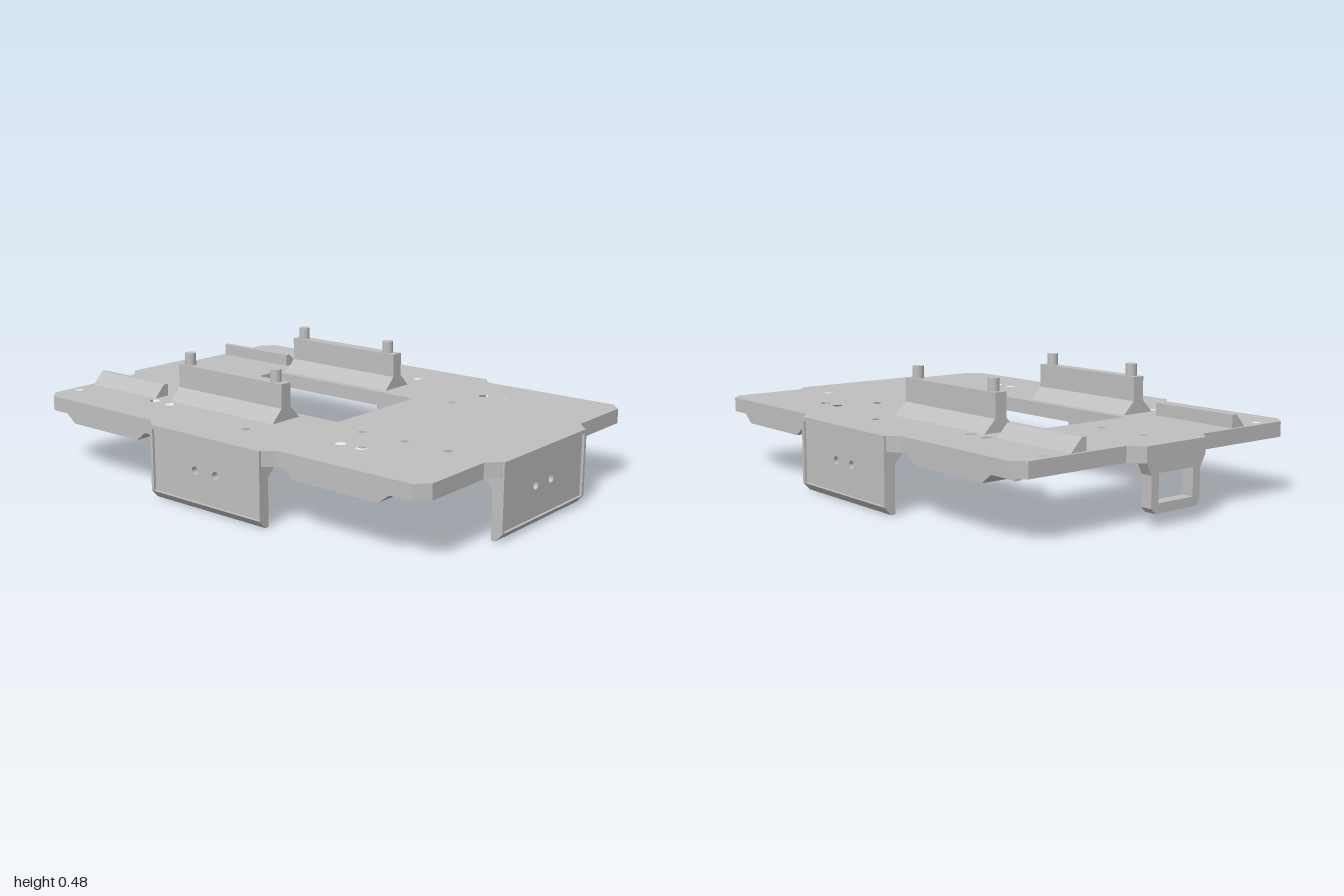
import * as THREE from 'three';
import { toCreasedNormals } from 'three/addons/utils/BufferGeometryUtils.js';

const TOP = 0.288, UNDER = 0.23;

export function createModel() {
  const model = new THREE.Group();
  model.name = 'mountingPlate';
  const grey = new THREE.MeshStandardMaterial({ color: 0xbfbfbf });
  grey.name = 'grey';

  const add = (parent, name, geometry) => {
    const mesh = new THREE.Mesh(geometry, grey);
    mesh.name = name;
    parent.add(mesh);
    return mesh;
  };
  const polygon = (points) => new THREE.Shape(points.map(([x, y]) => new THREE.Vector2(x, y)));
  const rect = (x0, x1, y0, y1) => polygon([[x0, y0], [x1, y0], [x1, y1], [x0, y1]]);
  const drill = (shape, x, y, r) => {
    const hole = new THREE.Path();
    hole.absarc(x, y, r, 0, Math.PI * 2, true);
    shape.holes.push(hole);
  };
  const extrude = (shape, depth) =>
    new THREE.ExtrudeGeometry(shape, { depth, bevelEnabled: false, curveSegments: 12 });
  // Slab drawn in x and z, hanging down from the given height
  const slab = (shape, top, depth) => extrude(shape, depth).rotateX(Math.PI / 2).translate(0, top, 0);
  // Bar along x with a cross-section drawn in z and y
  const bar = (points, x0, x1) =>
    extrude(polygon(points.map(([z, y]) => [-z, y])), x1 - x0).rotateY(Math.PI / 2).translate(x0, 0, 0);

  // Main plate with cut corners, edge tabs, central opening and bolt holes
  const plate = polygon([
    [-0.948, 0.62], [-0.9, 0.667], [-0.325, 0.667], [-0.28, 0.7025], [0.28, 0.7025], [0.32, 0.667],
    [0.9, 0.667], [0.948, 0.62], [0.948, 0.325], [0.99, 0.28], [0.99, -0.28], [0.948, -0.325],
    [0.948, -0.62], [0.9, -0.667], [0.32, -0.667], [0.28, -0.7025], [-0.28, -0.7025], [-0.325, -0.667],
    [-0.9, -0.667], [-0.948, -0.62], [-0.948, -0.19], [-1, -0.145], [-1, 0.145], [-0.948, 0.19],
  ]);
  plate.holes.push(rect(-0.51, 0.238, -0.238, 0.238));
  drill(plate, -0.84, 0, 0.016);
  drill(plate, -0.63, 0, 0.016);
  for (const s of [-1, 1]) {
    for (const [x, z] of [[-0.907, 0.53], [0.045, 0.53], [0.395, 0.287], [0.588, 0.287], [0.777, 0.287]]) {
      drill(plate, x, s * z, 0.016);
    }
    for (const x of [-0.53, -0.44, 0.433, 0.523]) drill(plate, x, s * 0.455, 0.02);
  }
  add(model, 'plate', toCreasedNormals(slab(plate, TOP, TOP - UNDER), 0.6));

  // Recessed hanging panels on three edges; outer face at the given distance
  const addFlap = (name, distance, angle) => {
    const flap = new THREE.Group();
    flap.name = name;
    flap.rotation.y = angle;
    const inner = distance - 0.045, w = 0.278;
    const panel = rect(-w, w, 0.03, UNDER);
    for (const s of [-1, 1]) drill(panel, s * 0.052, 0.15, 0.016);
    add(flap, 'panel', toCreasedNormals(extrude(panel, 0.035).translate(0, 0, inner), 0.6));
    const rim = rect(-w, w, 0.03, TOP);
    rim.holes.push(rect(-w + 0.013, w - 0.013, 0.032, 0.272));
    add(flap, 'rim', extrude(rim, 0.01).translate(0, 0, distance - 0.01));
    add(flap, 'lowerLip',
      bar([[inner, 0], [distance - 0.028, 0], [distance, 0.03], [inner, 0.03]], -w, w));
    add(flap, 'gusset',
      bar([[inner, 0.183], [inner, UNDER], [inner - 0.047, UNDER]], -w, w));
    model.add(flap);
  };
  addFlap('frontFlap', 0.7125, 0);
  addFlap('backFlap', 0.7125, Math.PI);
  addFlap('leftFlap', 1, Math.PI / 2);

  // Small open loop hanging from the right edge
  const loop = new THREE.Group();
  loop.name = 'rightLoop';
  loop.rotation.y = -Math.PI / 2;
  const frame = polygon([
    [-0.145, UNDER], [-0.12, 0.185], [-0.12, 0.07], [-0.1, 0.05],
    [0.1, 0.05], [0.12, 0.07], [0.12, 0.185], [0.145, UNDER],
  ]);
  frame.holes.push(rect(-0.085, 0.085, 0.085, 0.19));
  add(loop, 'frame', extrude(frame, 0.047).translate(0, 0, 0.953));
  add(loop, 'gusset', bar([[0.953, 0.185], [0.953, UNDER], [0.905, UNDER]], -0.12, 0.12));
  model.add(loop);

  for (const s of [-1, 1]) {
    const side = s > 0 ? 'front' : 'back';
    const mirrored = (points) => points.map(([z, y]) => [s * z, y]);

    // Tall rail with flared foot and two pins
    add(model, side + 'Rail', bar(mirrored([
      [0.27, TOP], [0.32, 0.338], [0.32, 0.432], [0.37, 0.432], [0.37, 0.338], [0.42, TOP],
    ]), -0.475, 0.075));
    for (const x of [-0.433, 0.025]) {
      add(model, side + 'Pin', new THREE.CylinderGeometry(0.022, 0.022, 0.05, 24))
        .position.set(x, 0.455, s * 0.345);
    }

    // Low wedge guide
    add(model, side + 'Guide', bar(mirrored([
      [0.36, TOP], [0.36, 0.337], [0.381, 0.337], [0.428, TOP],
    ]), -0.935, -0.555));

    // Tapered pads under the plate, each with a small key
    for (const [cx, holes, k0, k1] of [
      [-0.587, [-0.53, -0.44], -0.745, -0.56], [0.58, [0.433, 0.523], 0.552, 0.738],
    ]) {
      const pad = s > 0 ? rect(cx - 0.23, cx + 0.23, 0.422, 0.667) : rect(cx - 0.23, cx + 0.23, -0.667, -0.422);
      for (const x of holes) drill(pad, x, s * 0.455, 0.02);
      const geometry = slab(pad, UNDER, 0.035);
      const p = geometry.attributes.position;
      for (let i = 0; i < p.count; i++) {
        const dx = p.getX(i) - cx;
        if (p.getY(i) < 0.21 && Math.abs(dx) > 0.22) p.setX(i, cx + Math.sign(dx) * 0.185);
      }
      geometry.computeVertexNormals();
      add(model, side + 'Pad', geometry);
      add(model, side + 'Key', new THREE.BoxGeometry(k1 - k0, 0.03, 0.027))
        .position.set((k0 + k1) / 2, 0.19, s * 0.491);
    }
  }
  return model;
}
